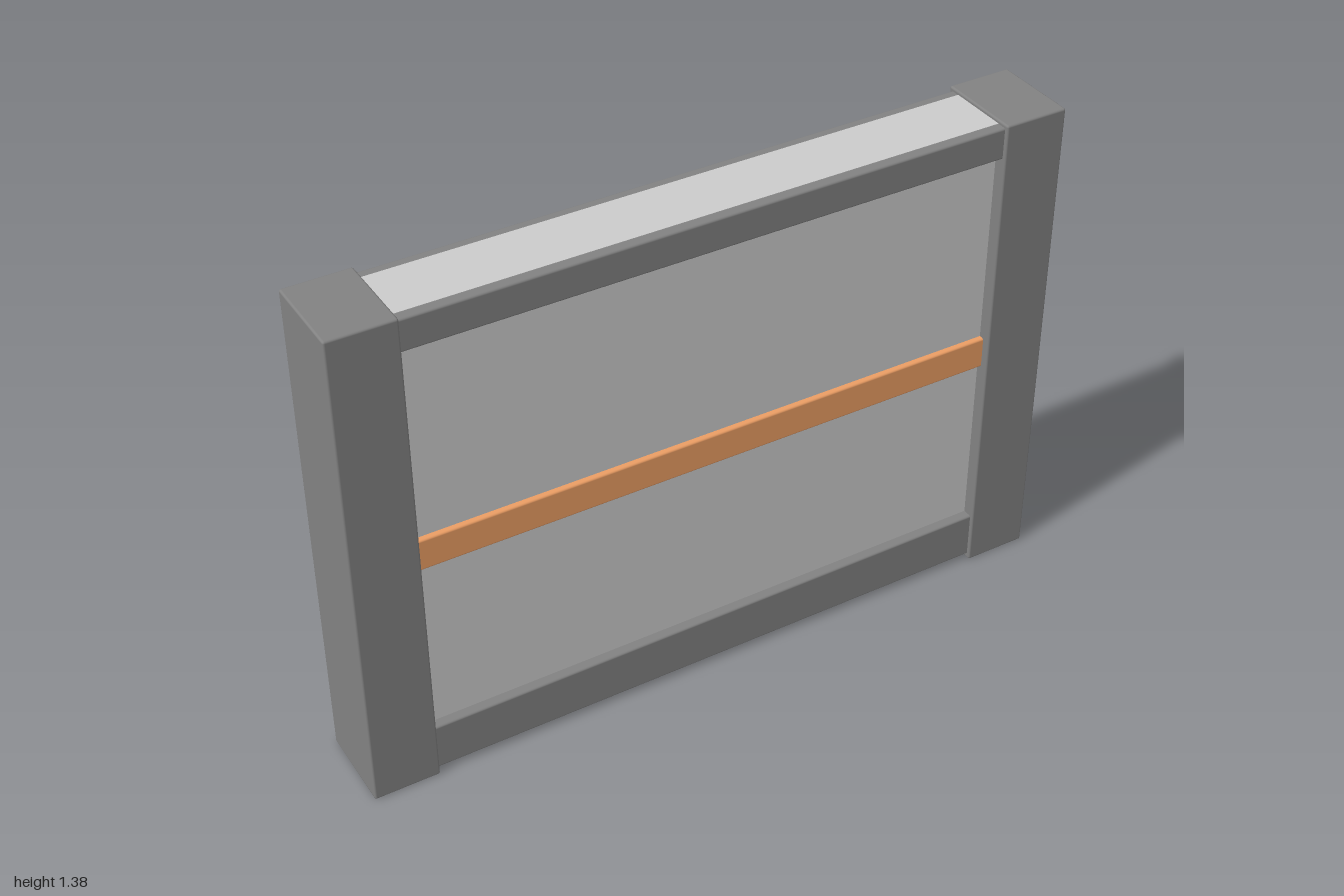
import * as THREE from 'three';
import { RoundedBoxGeometry } from 'three/addons/geometries/RoundedBoxGeometry.js';

export function createModel() {
  const group = new THREE.Group();
  const frame = new THREE.MeshStandardMaterial({ color: 0x828282 });
  const infill = new THREE.MeshStandardMaterial({ color: 0xcccccc });
  const accent = new THREE.MeshStandardMaterial({ color: 0xec9e64 });

  // Box from its bottom and top heights, with an optional small edge bevel
  function bar(name, material, width, y0, y1, depth, x = 0, bevel = 0.006) {
    const height = y1 - y0;
    const geometry = bevel
      ? new RoundedBoxGeometry(width, height, depth, 2, bevel)
      : new THREE.BoxGeometry(width, height, depth);
    const mesh = new THREE.Mesh(geometry, material);
    mesh.name = name;
    mesh.position.set(x, (y0 + y1) / 2, 0);
    group.add(mesh);
  }

  // End posts
  bar('leftPost', frame, 0.18, 0, 1.385, 0.244, 0.91);
  bar('rightPost', frame, 0.18, 0, 1.385, 0.244, -0.91);

  // Wall panel between the posts, its top edge showing within the top rail
  bar('wallPanel', infill, 1.66, 0.016, 1.376, 0.17, 0, 0);

  // Rails and middle stripe wrap both faces; their ends sit inside the posts
  bar('bottomRail', frame, 1.66, 0.014, 0.15, 0.224);
  bar('topRail', frame, 1.66, 1.287, 1.375, 0.224);
  bar('middleStripe', accent, 1.66, 0.65, 0.74, 0.2);

  return group;
}
